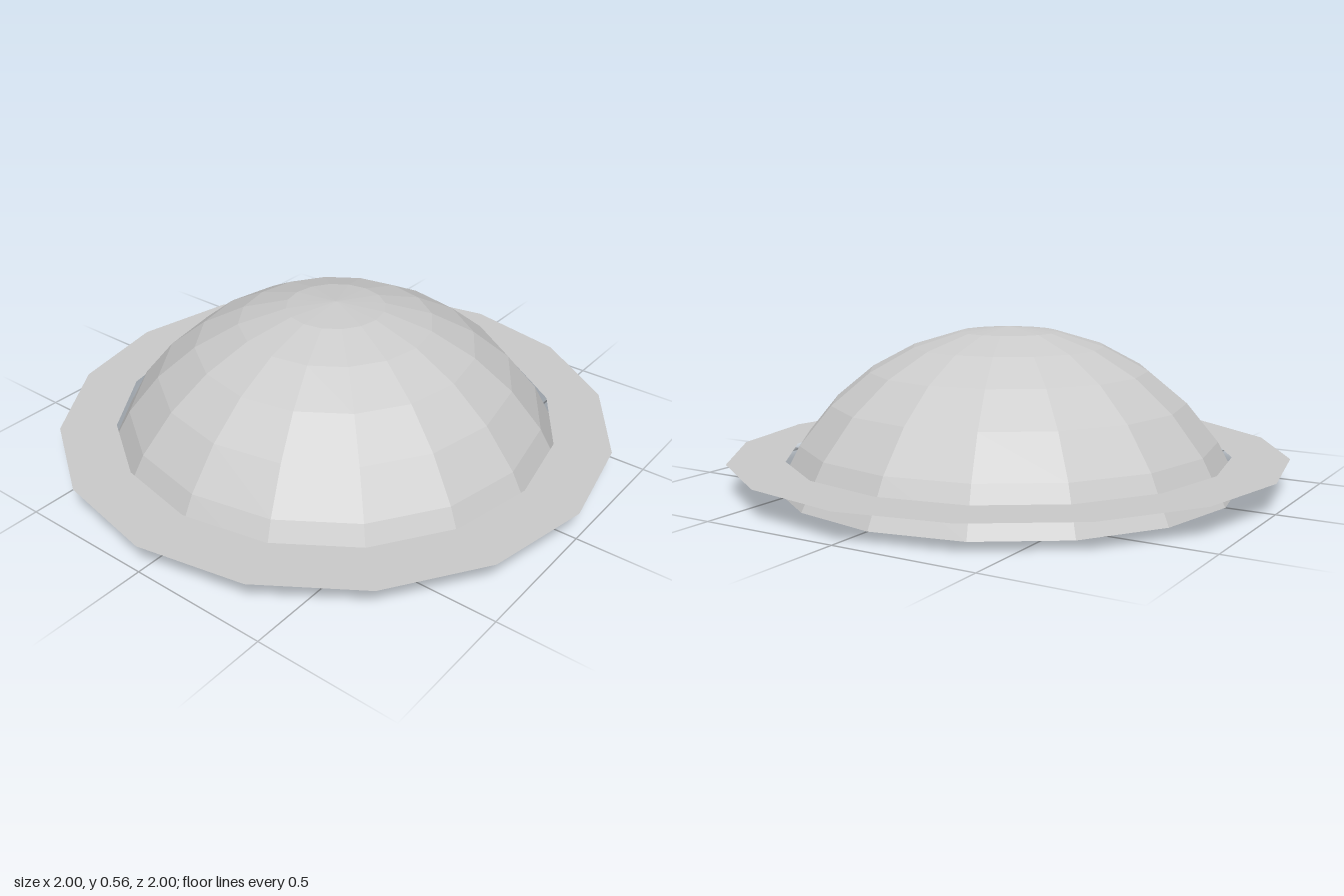
import * as THREE from 'three';

const SIDES = 16;

export function createModel() {
  const model = new THREE.Group();
  const material = new THREE.MeshStandardMaterial({
    color: 0xcccccc, flatShading: true, side: THREE.DoubleSide,
  });

  // Open spherical cap: six bands of 11.25 degrees, rim resting on y = 0
  const radius = 0.9;
  const capAngle = Math.PI * 0.375;
  const dome = new THREE.Mesh(
    new THREE.SphereGeometry(radius, SIDES, 6, 0, Math.PI * 2, 0, capAngle), material);
  dome.name = 'dome';
  dome.position.y = -radius * Math.cos(capAngle);
  model.add(dome);

  // Thin flat ring floating around the dome, just above its rim
  const ring = new THREE.Mesh(new THREE.RingGeometry(0.798, 1, SIDES, 1), material);
  ring.name = 'ring';
  ring.rotation.x = -Math.PI / 2;
  ring.position.y = 0.102;
  model.add(ring);

  return model;
}
